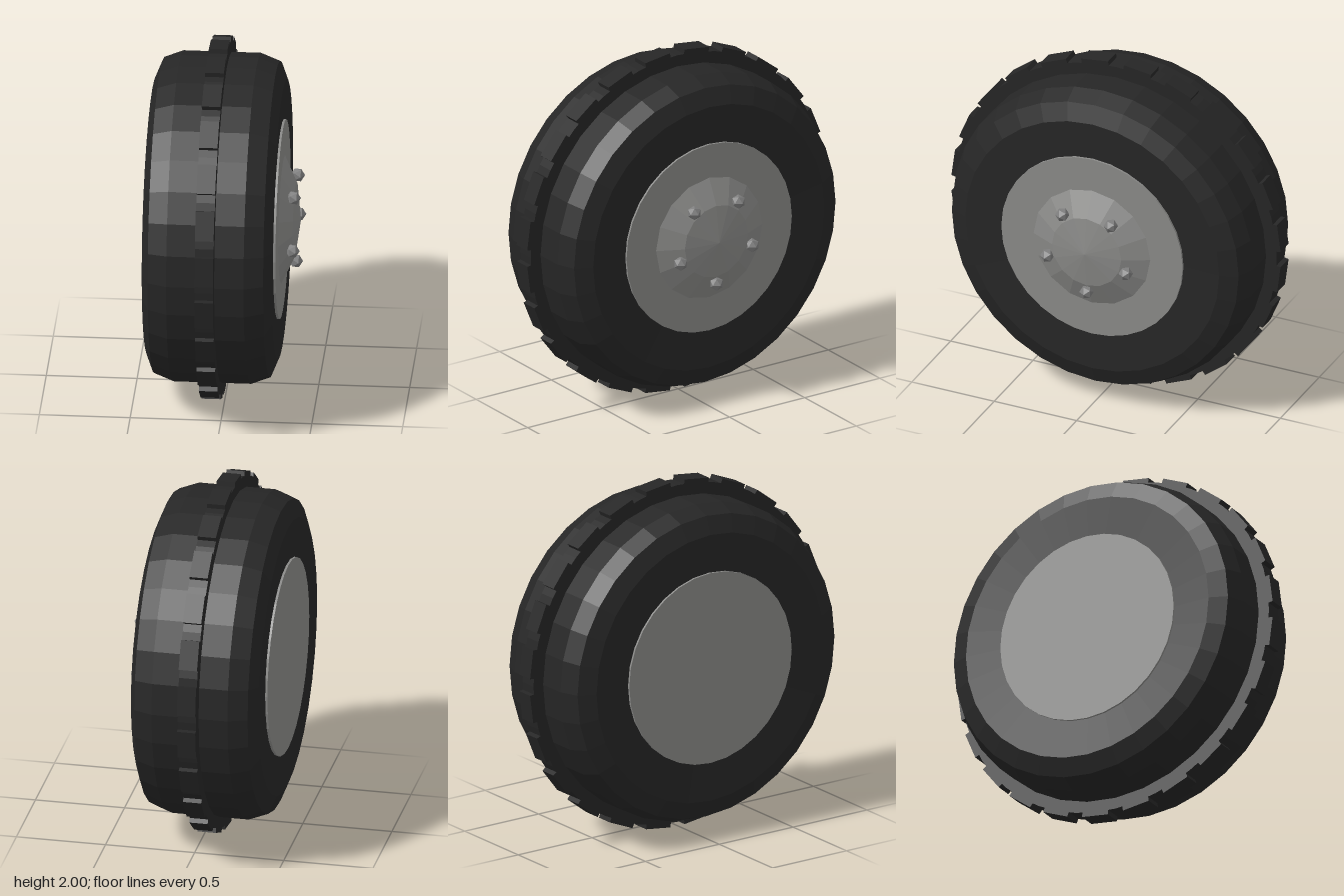
import * as THREE from 'three';

const mat = (name, color) => {
  const m = new THREE.MeshStandardMaterial({ color, flatShading: true });
  m.name = name;
  return m;
};

export function createModel() {
  const rubber = mat('black rubber', 0x262626);
  const metal = mat('grey metal', 0x8a8a88);
  const steel = mat('nut steel', 0x808080);

  const root = new THREE.Group();
  root.name = 'wheel';
  // The wheel is built around y, then turned so its axle lies along x.
  const wheel = new THREE.Group();
  wheel.name = 'wheelAssembly';
  wheel.rotation.z = -Math.PI / 2;
  wheel.position.y = 1;
  root.add(wheel);

  const add = (name, geometry, material, y = 0) => {
    const mesh = new THREE.Mesh(geometry, material);
    mesh.name = name;
    mesh.position.y = y;
    wheel.add(mesh);
    return mesh;
  };
  const lathe = (points, segments) =>
    new THREE.LatheGeometry(points.map(([r, y]) => new THREE.Vector2(r, y)), segments);

  const mid = -0.058; // middle plane of the tyre

  // Tyre body: symmetric chamfered profile (radius, offset from the middle plane)
  const half = [[0.91, 0.213], [0.87, 0.318], [0.77, 0.358], [0.54, 0.348]];
  const profile = [...half.map(([r, y]) => [r, -y]).reverse(), ...half];
  add('tyre', lathe(profile, 32), rubber, mid);

  // Central tread band with 24 raised blocks
  add('treadBand', new THREE.CylinderGeometry(0.975, 0.975, 0.103, 48), rubber, mid);
  const blockGeometry = new THREE.BoxGeometry(0.165, 0.103, 0.1);
  for (let i = 0; i < 24; i++) {
    const a = ((i + 0.5) / 24) * Math.PI * 2;
    const block = add('treadBlock', blockGeometry, rubber, mid);
    block.position.set(Math.sin(a) * 0.946, mid, Math.cos(a) * 0.946);
    block.rotation.y = a;
  }

  // Rim disc, showing on both sides of the tyre
  add('rim', new THREE.CylinderGeometry(0.55, 0.55, 0.722, 32), metal, mid);

  // Domed hub cap on the outer side
  add('hubCap', lathe([[0.36, 0.3], [0.21, 0.372], [0, 0.402]], 16), metal);

  // Five faceted wheel nuts, each with a point facing outwards
  const nutGeometry = new THREE.IcosahedronGeometry(0.04, 0);
  const tip = new THREE.Vector3(0, 1, (1 + Math.sqrt(5)) / 2).normalize();
  const turn = new THREE.Quaternion().setFromUnitVectors(tip, new THREE.Vector3(0, 1, 0));
  nutGeometry.applyQuaternion(turn);
  for (let i = 0; i < 5; i++) {
    const a = (i / 5) * Math.PI * 2;
    const nut = add('wheelNut', nutGeometry, steel);
    // local +x points down once the wheel is turned
    nut.position.set(Math.cos(a) * 0.25, 0.373, Math.sin(a) * 0.25);
  }

  return root;
}
